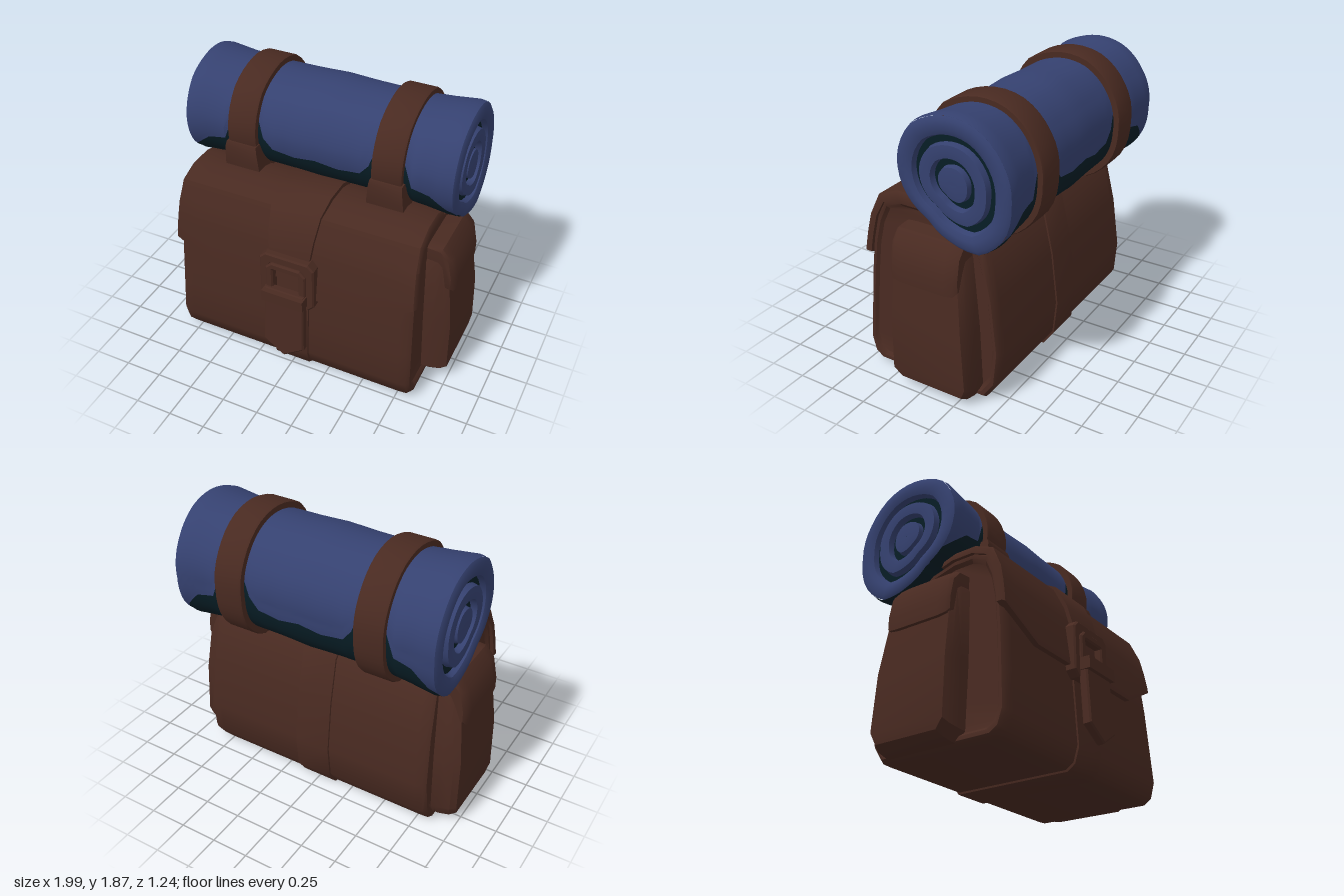
import * as THREE from 'three';
import { toCreasedNormals } from 'three/addons/utils/BufferGeometryUtils.js';

const mat = (name, color) => {
  const m = new THREE.MeshStandardMaterial({ color });
  m.name = name;
  return m;
};

// Piecewise-linear lookup in a table of [input, output] pairs
function lookup(table, v) {
  if (v <= table[0][0]) return table[0][1];
  for (let i = 1; i < table.length; i++) {
    const [x0, y0] = table[i - 1], [x1, y1] = table[i];
    if (v <= x1) return y0 + (y1 - y0) * (v - x0) / (x1 - x0);
  }
  return table[table.length - 1][1];
}

// Skin over rows of [x, y, z] points; turned to face outward by its signed volume
function loft(rows, { closed = true, caps = true, crease = 0.7 } = {}) {
  const tris = [], n = rows[0].length;
  const quad = (a, b, c, d) => tris.push([a, b, c], [a, c, d]);
  for (let r = 0; r + 1 < rows.length; r++)
    for (let i = 0; i < (closed ? n : n - 1); i++) {
      const j = (i + 1) % n;
      quad(rows[r][i], rows[r + 1][i], rows[r + 1][j], rows[r][j]);
    }
  if (caps) {
    const s = rows[0], e = rows[rows.length - 1];
    for (let i = 0; i < (n - 1) / 2; i++) {
      const j = n - 1 - i;
      quad(s[i], s[i + 1], s[j - 1], s[j]);
      quad(e[j], e[j - 1], e[i + 1], e[i]);
    }
  }
  const mid = new THREE.Vector3();
  rows.flat().forEach(p => mid.add(new THREE.Vector3(...p)));
  mid.divideScalar(rows.length * n);
  const v = p => new THREE.Vector3(...p).sub(mid);
  const volume = tris.reduce((s, [a, b, c]) => s + v(a).dot(v(b).cross(v(c))), 0);
  const out = tris.flatMap(([a, b, c]) => volume < 0 ? [a, c, b] : [a, b, c]);
  const g = new THREE.BufferGeometry();
  g.setAttribute('position', new THREE.Float32BufferAttribute(out.flat(), 3));
  return toCreasedNormals(g, crease);
}

// Scale [a, b] outline points about a centre
const scaled = (pts, s, ca, cb) => pts.map(([a, b]) => [ca + (a - ca) * s, cb + (b - cb) * s]);

// Strap following a path of [z, y, halfWidth], thickened along its normal
function ribbon(path, t) {
  return loft(path.map(([z, y, w], i) => {
    const a = path[Math.max(i - 1, 0)], b = path[Math.min(i + 1, path.length - 1)];
    const dz = b[0] - a[0], dy = b[1] - a[1], l = Math.hypot(dz, dy);
    const nz = -dy / l * t, ny = dz / l * t;
    return [[-w, y, z], [w, y, z], [w, y + ny, z + nz], [-w, y + ny, z + nz]];
  }));
}

// Bedroll cross-section: a slightly sagging outline as [degrees, radius]
const RY = 1.45, RZ = -0.22, START = 13 * Math.PI / 180;
const rollOutline = [[13, 0.395], [49, 0.419], [73, 0.408], [113, 0.405], [145, 0.39], [187, 0.39],
  [216, 0.425], [246, 0.44], [273, 0.374], [305, 0.318], [345, 0.365], [373, 0.395]];
function rollPoint(x, a, s) {
  const deg = (((a - START) * 180 / Math.PI % 360) + 360) % 360 + 13;
  const r = s * lookup(rollOutline, deg);
  return [x, RY + r * Math.sin(a), RZ + r * Math.cos(a)];
}
const rollArc = (x, s, a0 = START, a1 = START + Math.PI * 2, n = 40) =>
  Array.from({ length: n + 1 }, (_, i) => rollPoint(x, a0 + (a1 - a0) * i / n, s));
const rollLoft = (rows, opts) => loft(rows.map(([x, s]) => rollArc(x, s)),
  { closed: false, caps: false, crease: 0.8, ...opts });

export function createModel() {
  const model = new THREE.Group();
  const leather = mat('brown leather', 0x492a21);
  const cloth = mat('blue cloth', 0x354170);
  const shade = mat('dark teal cloth', 0x071d25);
  const add = (name, geo, m = leather, parent = model) => {
    const mesh = new THREE.Mesh(geo, m);
    mesh.name = name;
    parent.add(mesh);
    return mesh;
  };

  // Bag body: side outline [z, y] lofted across x, with a raised rim on each side
  const outline = [[0.42, 0.012], [0.475, 0.05], [0.505, 0.15], [0.49, 0.4], [0.475, 0.65], [0.45, 0.9],
    [0.415, 1.06], [0.36, 1.18], [0.25, 1.225], [0.1, 1.225], [-0.1, 1.17], [-0.28, 1.08], [-0.36, 1.0],
    [-0.43, 0.7], [-0.475, 0.35], [-0.455, 0.12], [-0.38, 0.012]];
  const slice = (x, s) => scaled(outline, s, 0, 0.6).map(([z, y]) => [x * (1 - 0.04 * y), y, z]);
  const half = [[0.77, 1], [0.825, 0.995], [0.85, 0.965], [0.85, 0.925], [0.83, 0.89]];
  add('bagBody', loft([...half.map(([x, s]) => slice(-x, s)).reverse(), ...half.map(([x, s]) => slice(x, s))]));

  // Band wrapped around the middle of the body
  add('bodyBand', loft([[-0.13, 0.99], [-0.125, 1.02], [0.125, 1.02], [0.13, 0.99]].map(([x, s]) => slice(x, s))));

  // Front flap with a hem that rises toward the sides
  const frontZ = [[0.4, 0.49], [0.65, 0.475], [0.9, 0.45], [1.06, 0.415]];
  const hem = [[0, 0.645], [0.53, 0.645], [0.845, 0.81]];
  const flapColumn = (x, t) => {
    const b = lookup(hem, Math.abs(x));
    const drop = [1.06, 0.95, b + 0.04, b].map(y => [lookup(frontZ, y), y]);
    const path = [[0.02, 1.2], [0.1, 1.225], [0.25, 1.225], [0.36, 1.18], ...drop];
    const outer = path.map(([z, y], i) => {
      const k = i < 3 ? [0, t] : i === 3 ? [t * 0.7, t * 0.7] : [t, 0];
      return [z + k[0], y + k[1]];
    });
    const inner = path.map(([z, y]) => [z - 0.015, y - (y > 1.15 ? 0.015 : 0)]).reverse();
    return [...outer, ...inner].map(([z, y]) => [x * (1 - 0.07 * Math.max(0, y - 0.8)), y, z]);
  };
  add('frontFlap', loft([-0.848, -0.835, -0.7, -0.53, -0.2, 0.2, 0.53, 0.7, 0.835, 0.848]
    .map(x => flapColumn(x, Math.abs(x) > 0.84 ? 0.02 : 0.036))));

  // Closing strap over the flap, and its hanging pointed tongue
  add('closingStrap', ribbon([[0, 1.21, 0.18], [0.1, 1.25, 0.18], [0.26, 1.25, 0.18], [0.37, 1.195, 0.17],
    [0.435, 1.06, 0.155], [0.468, 0.92, 0.14], [0.48, 0.75, 0.13]], 0.04));
  const tongue = new THREE.Shape([[-0.125, 0.69], [-0.135, 0.27], [0, 0.18], [0.135, 0.27], [0.125, 0.69]]
    .map(p => new THREE.Vector2(...p)));
  const bevel = { bevelSize: 0.01, bevelThickness: 0.01, bevelSegments: 1 };
  const tongueMesh = add('strapTongue', new THREE.ExtrudeGeometry(tongue, { depth: 0.04, ...bevel }));
  tongueMesh.position.z = 0.58;
  tongueMesh.rotation.x = -0.06;

  // Buckle: square frame with an open middle and a cross bar
  const corners = (w, y0, y1, c) => [[-w + c, y0], [w - c, y0], [w, y0 + c], [w, y1 - c],
    [w - c, y1], [-w + c, y1], [-w, y1 - c], [-w, y0 + c]].map(p => new THREE.Vector2(...p));
  const frame = (w, y0, y1, rim, depth) => {
    const s = new THREE.Shape(corners(w, y0, y1, 0.035));
    s.holes.push(new THREE.Path(corners(w - rim, y0 + rim, y1 - rim, 0.01).reverse()));
    return new THREE.ExtrudeGeometry(s, { depth, ...bevel });
  };
  const buckle = new THREE.Group();
  buckle.name = 'buckle';
  model.add(buckle);
  add('buckleFrame', frame(0.18, 0.58, 0.935, 0.055, 0.065), leather, buckle).position.z = 0.472;
  add('buckleInnerFrame', frame(0.13, 0.62, 0.88, 0.03, 0.05), leather, buckle).position.z = 0.505;
  add('buckleBar', new THREE.BoxGeometry(0.29, 0.08, 0.07), leather, buckle).position.set(0, 0.655, 0.585);

  // Side pockets with lids
  const pocketOutline = [[0.16, 0.04], [0.215, 0.1], [0.215, 0.5], [0.2, 0.95], [0.16, 1.02],
    [-0.22, 1.02], [-0.27, 0.95], [-0.32, 0.5], [-0.345, 0.12], [-0.31, 0.04]];
  const lidOutline = [[0.78, 0.76], [0.985, 0.76], [0.985, 0.85], [0.955, 1.0], [0.89, 1.075], [0.78, 1.085]];
  const pocketX = [[0, 0.97], [0.12, 0.995], [0.4, 1.0], [0.65, 0.975], [1.02, 0.93]];
  for (const side of [1, -1]) {
    const label = side > 0 ? 'left' : 'right';
    add(label + 'Pocket', loft([[0.78, 1.04, 0], [0.87, 1.03, 0], [0.96, 1, 1], [1, 0.94, 1]]
      .map(([x, s, k]) => scaled(pocketOutline, s, -0.06, 0.5)
        .map(([z, y]) => [side * x * (k ? lookup(pocketX, y) : 1), y, z]))));
    add(label + 'PocketLid', loft([[-0.275, 0.84], [-0.25, 0.96], [-0.19, 1], [0.12, 1], [0.18, 0.96], [0.2, 0.84]]
      .map(([z, s]) => scaled(lidOutline, s, 0.84, 0.98).map(([x, y]) => [side * x, y, z]))));
  }

  // Bedroll skin: blue above, dark below, meeting on a wavy line
  const bulge = [[0, 0.945], [0.2, 0.925], [0.5, 0.92], [0.7, 0.955], [0.86, 1], [0.905, 0.985]];
  const edgeY = [[0, 1.43], [0.15, 1.4], [0.3, 1.42], [0.36, 1.5], [0.4, 1.62], [0.58, 1.6],
    [0.64, 1.42], [0.76, 1.4], [0.85, 1.32], [0.905, 1.25]];
  const stations = [0, 0.08, 0.15, 0.22, 0.3, 0.36, 0.4, 0.5, 0.58, 0.64, 0.7, 0.76, 0.81, 0.86, 0.905];
  const xs = [...stations.slice(1).reverse().map(x => -x), ...stations];
  const skin = dark => loft(xs.map(x => {
    const y = lookup(edgeY, Math.abs(x));
    const front = Math.asin((y - RY) / 0.38);
    const back = Math.PI - Math.asin((y - 0.08 - RY) / 0.39);
    const s = lookup(bulge, Math.abs(x));
    return dark ? rollArc(x, s, back, front + Math.PI * 2, 40) : rollArc(x, s, front, back, 60);
  }), { closed: false, caps: false, crease: 1.3 });
  add('bedrollTop', skin(false), cloth);
  add('bedrollUnderside', skin(true), shade);

  // Rolled ends: raised blue layers over dark grooves
  for (const side of [1, -1]) {
    const layer = (name, rows) => add(name, rollLoft(rows.map(([x, s]) => [side * x, s])), cloth);
    layer('outerLayer', [[0.865, 0.69], [0.865, 0.95], [0.904, 0.983], [0.918, 0.93], [0.92, 0.8],
      [0.905, 0.72], [0.865, 0.69]]);
    layer('middleLayer', [[0.865, 0.36], [0.865, 0.6], [0.91, 0.575], [0.915, 0.48], [0.91, 0.385], [0.865, 0.36]]);
    layer('coreLayer', [[0.865, 0.27], [0.905, 0.25], [0.912, 0.12], [0.91, 0.001]]);
    add('rollGrooves', rollLoft([[side * 0.8, 0.74], [side * 0.87, 0.74]], { caps: true }), shade);
  }

  // Bedroll straps with a stitched tab at the front of each
  for (const side of [1, -1]) {
    const x0 = side * 0.395, x1 = side * 0.59;
    add('bedrollStrap', rollLoft([[x0, 0.88], [x0, 1.015], [x0 + side * 0.015, 1.03],
      [x1 - side * 0.015, 1.03], [x1, 1.015], [x1, 0.88], [x0, 0.88]]));
    add('strapTab', loft([[1.18, 0.06, 0.165], [1.3, 0.1, 0.185], [1.41, 0.14, 0.19], [1.44, 0.14, 0.18]]
      .map(([y, z0, z1], i) => {
        const w = [0.125, 0.12, 0.11, 0.105][i], c = side * 0.495;
        return [[c - w, y, z0 - 0.05], [c + w, y, z0 - 0.05], [c + w, y, z1], [c - w, y, z1]];
      })));
  }
  return model;
}
